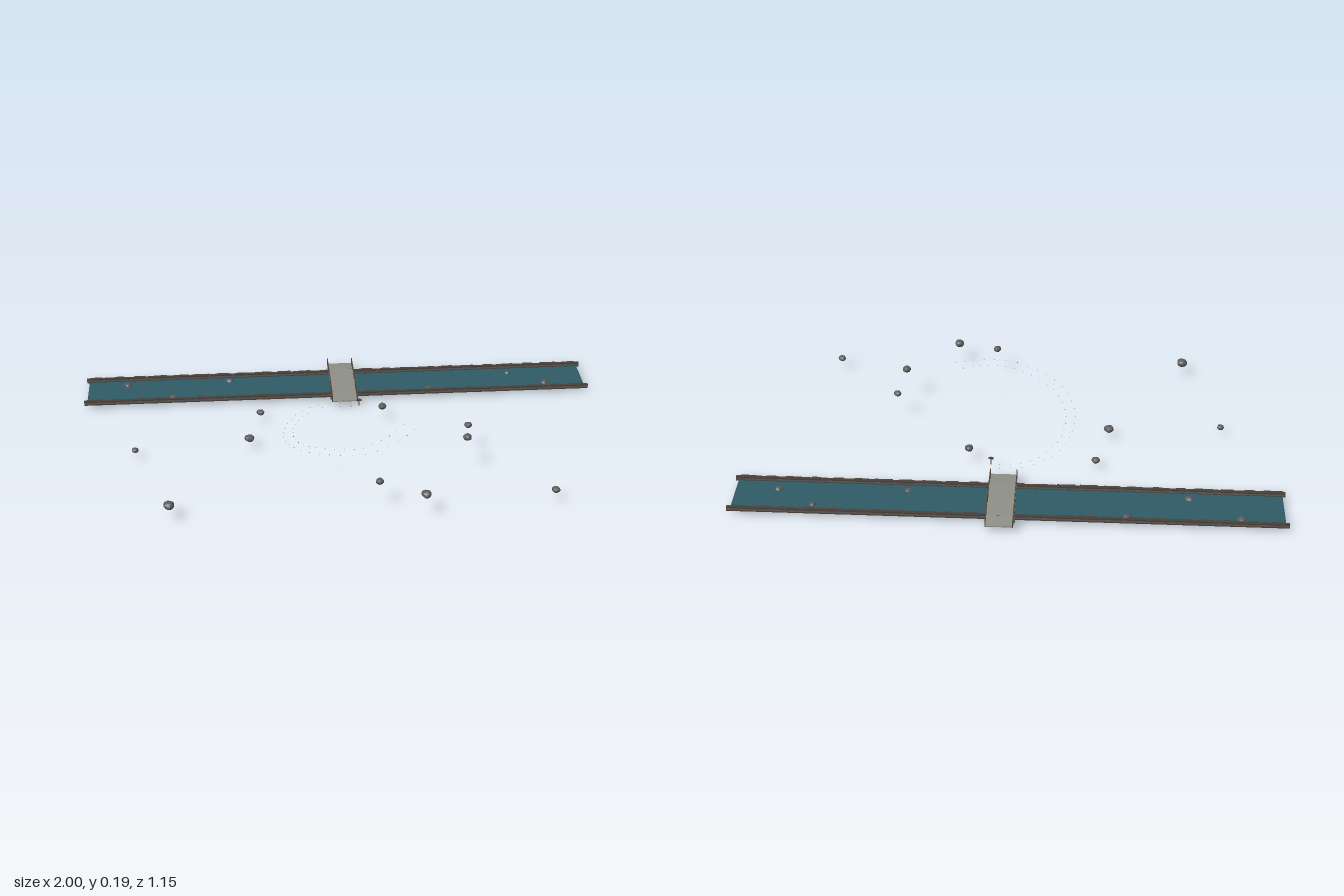
import * as THREE from 'three';

const mat = (name, color) => Object.assign(new THREE.MeshStandardMaterial({ color }), { name });

export function createModel() {
  const water = mat('water', 0x2f5b66);
  water.side = THREE.DoubleSide;
  const stone = mat('stone', 0x5a5b5a);
  const bankEarth = mat('bank earth', 0x4a4139);
  const planks = mat('deck planks', 0x8f9087);
  const wood = mat('dark wood', 0x5a4636);
  const pebble = mat('pale pebble', 0x8a8a84);

  const root = new THREE.Group();
  root.name = 'riverScene';

  let seed = 7;
  const rand = () => (seed = (seed * 16807) % 2147483647) / 2147483647;

  const add = (parent, name, geo, material, x = 0, y = 0, z = 0) => {
    const m = new THREE.Mesh(geo, material);
    m.name = name;
    m.position.set(x, y, z);
    parent.add(m);
    return m;
  };
  const box = (parent, name, material, w, h, d, x, y, z) =>
    add(parent, name, new THREE.BoxGeometry(w, h, d), material, x, y, z);

  // River surface
  const river = new THREE.Group();
  river.name = 'river';
  root.add(river);
  add(river, 'water', new THREE.PlaneGeometry(1.98, 0.18).rotateX(-Math.PI / 2), water, 0, 0.02, -0.42);

  // Two banks: an earth wall with a stone course and uneven coping blocks
  for (const s of [-1, 1]) {
    const z = -0.42 + s * 0.093;
    box(river, 'bankWall', bankEarth, 2, 0.017, 0.011, 0, 0.0265, z);
    box(river, 'bankStoneCourse', stone, 2, 0.007, 0.012, 0, 0.0265, z);
    for (let i = 0; i < 24; i++) {
      const w = 0.03 + rand() * 0.04;
      box(river, 'bankBlock', bankEarth, w, 0.006, 0.012 + rand() * 0.004,
        -0.955 + i * 0.083, 0.033 + rand() * 0.001, z);
    }
  }

  // Bridge with a gently arched deck
  const bridge = new THREE.Group();
  bridge.name = 'bridge';
  bridge.position.set(0.022, 0, -0.42);
  root.add(bridge);
  const deckY = z => 0.031 + 0.004 * Math.min(1, (0.158 - Math.abs(z)) / 0.06);
  const strip = (name, material, w, h, x, lift, z0, z1) => {
    const a = deckY(z0), b = deckY(z1);
    const m = box(bridge, name, material, w, h, Math.hypot(z1 - z0, b - a) + 0.0006,
      x, (a + b) / 2 + lift, (z0 + z1) / 2);
    m.rotation.x = -Math.atan2(b - a, z1 - z0);
  };
  const stops = [-0.158, -0.098, 0, 0.098, 0.158];
  for (let i = 0; i < 4; i++) {
    strip('deckSection', planks, 0.1, 0.004, 0, 0, stops[i], stops[i + 1]);
    for (const x of [-0.049, 0.049]) {
      strip('sideBeam', wood, 0.003, 0.005, x, -0.0005, stops[i], stops[i + 1]);
      strip('midRail', wood, 0.002, 0.002, x, 0.012, stops[i], stops[i + 1]);
      strip('topRail', wood, 0.0025, 0.0025, x, 0.024, stops[i], stops[i + 1]);
    }
  }
  // Railing posts
  for (let i = 0; i < 10; i++) {
    const z = -0.157 + i * 0.0349;
    for (const x of [-0.049, 0.049])
      box(bridge, 'railPost', wood, 0.003, 0.027, 0.003, x, deckY(z) + 0.0115, z);
  }
  // Abutments and their corner piers
  for (const s of [-1, 1]) {
    box(bridge, 'abutment', stone, 0.092, 0.018, 0.018, 0, 0.022, s * 0.108);
    for (const x of [-0.048, 0.048])
      box(bridge, 'cornerPier', stone, 0.012, 0.02, 0.016, x, 0.022, s * 0.101);
  }

  // Signpost beside the bridge
  const sign = new THREE.Group();
  sign.name = 'signpost';
  sign.position.set(0.072, 0, -0.209);
  root.add(sign);
  box(sign, 'signPole', wood, 0.004, 0.032, 0.004, 0, 0.055, 0);
  box(sign, 'signBoard', wood, 0.018, 0.008, 0.003, 0, 0.064, 0.0025);

  // Faceted boulders: x, y, z, width
  const boulder = (name, x, y, z, w, h) => {
    const geo = new THREE.IcosahedronGeometry(1, 1);
    const p = geo.attributes.position;
    const phase = rand() * 6;
    for (let i = 0; i < p.count; i++) {
      const a = p.getX(i), b = p.getY(i), c = p.getZ(i);
      const k = 1 + 0.09 * Math.sin(a * 4 + phase) * Math.cos(c * 3 + b * 2 + phase);
      p.setXYZ(i, a * k * w / 2, b * k * h / 2, c * k * w * 0.46);
    }
    geo.rotateY(phase);
    geo.computeVertexNormals();
    add(root, name, geo, stone, x, y, z);
  };
  [[-0.652, 0.065, 0.503, 0.043], [-0.786, 0.042, 0.077, 0.028], [-0.36, 0.05, 0.032, 0.038],
    [-0.313, 0.045, -0.172, 0.032], [0.158, 0.066, -0.148, 0.034], [0.452, 0.125, 0.122, 0.03],
    [0.43, 0.152, 0.257, 0.035], [0.09, 0.118, 0.483, 0.032], [0.248, 0.1, 0.55, 0.039],
    [0.72, 0.055, 0.483, 0.032]]
    .forEach(([x, y, z, w]) => boulder('boulder', x, y, z, w, w * 0.72));
  [[-0.835, -0.475, 0.035], [-0.652, -0.362, 0.035], [-0.428, -0.484, 0.034],
    [0.362, -0.362, 0.032], [0.698, -0.468, 0.025], [0.834, -0.378, 0.033]]
    .forEach(([x, z, w]) => boulder('riverRock', x, 0.017, z, w, 0.026));

  // Rising curved trail edged by two rows of pebbles
  const trail = new THREE.CatmullRomCurve3([
    [0.04, 0.038, -0.22], [-0.06, 0.044, -0.21], [-0.15, 0.051, -0.14], [-0.205, 0.062, -0.02],
    [-0.21, 0.08, 0.11], [-0.16, 0.108, 0.22], [-0.06, 0.132, 0.295], [0.04, 0.148, 0.325],
    [0.14, 0.168, 0.295], [0.22, 0.19, 0.235]].map(q => new THREE.Vector3(...q)));
  const up = new THREE.Vector3(0, 1, 0);
  for (let i = 0; i <= 26; i++) {
    const t = i / 26;
    const side = trail.getTangentAt(t).cross(up).normalize();
    for (const s of [-1, 1]) {
      const q = trail.getPointAt(t).addScaledVector(side, s * (0.012 + 0.014 * t));
      add(root, 'trailPebble', new THREE.IcosahedronGeometry(0.0018, 0), pebble, q.x, q.y, q.z);
    }
  }
  return root;
}
